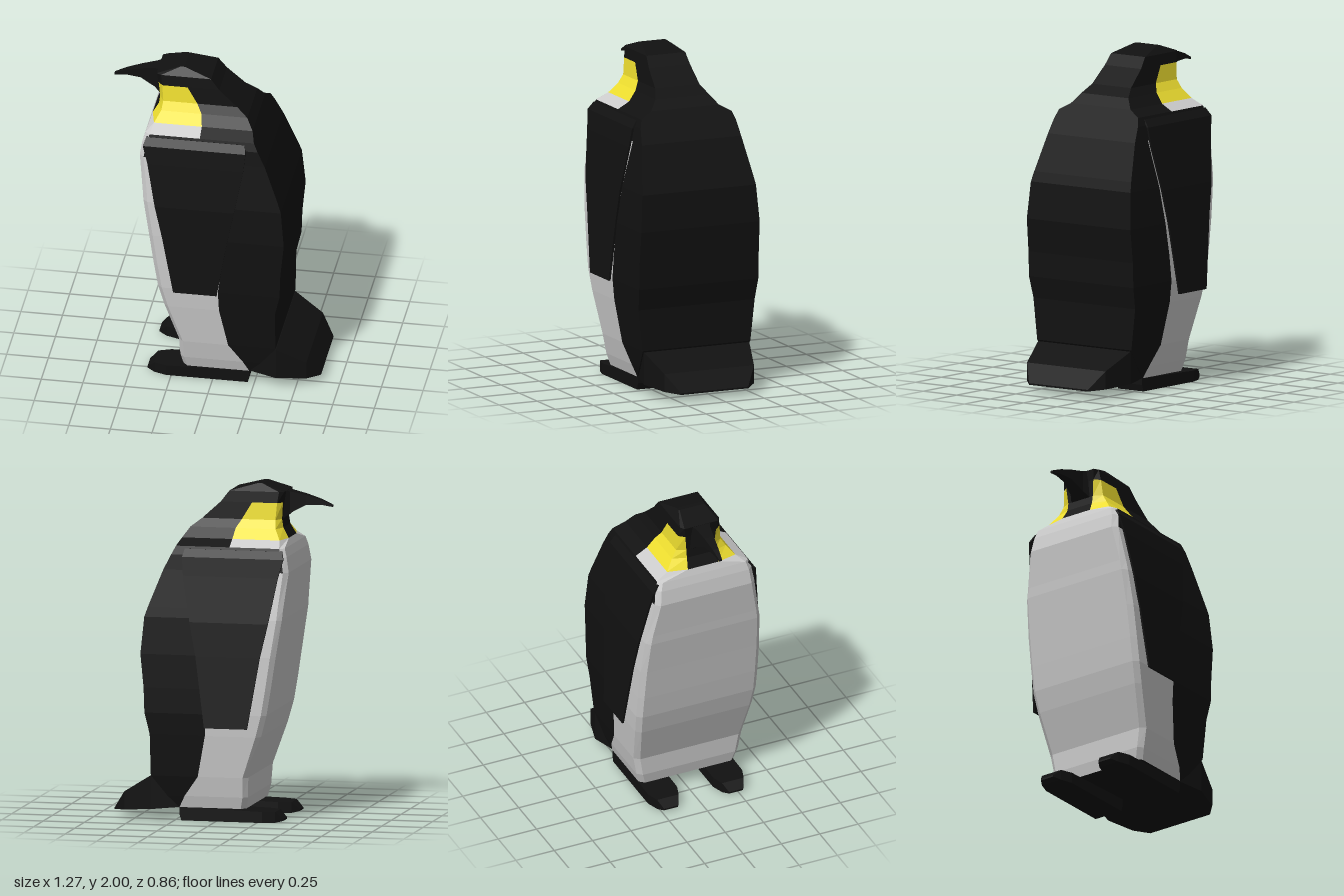
import * as THREE from 'three';

const material = (color) => new THREE.MeshStandardMaterial({ color, flatShading: true, side: THREE.DoubleSide });
const BLACK = material(0x111111), PALE = material(0xcccccc), YELLOW = material(0xf0e030);

// Skin a stack of rings; colorAt(row, column) picks the material, one mesh per material.
function loft(name, rings, colorAt = () => BLACK) {
  const buckets = new Map();
  const tri = (mat, ...pts) => {
    if (!buckets.has(mat)) buckets.set(mat, []);
    for (const p of pts) buckets.get(mat).push(...p);
  };
  const n = rings[0].length;
  for (let i = 0; i < rings.length - 1; i++) {
    for (let j = 0; j < n; j++) {
      const k = (j + 1) % n, mat = colorAt(i, j);
      tri(mat, rings[i][j], rings[i][k], rings[i + 1][k]);
      tri(mat, rings[i][j], rings[i + 1][k], rings[i + 1][j]);
    }
  }
  const first = rings[0], last = rings[rings.length - 1];
  for (let j = 1; j < n - 1; j++) {
    tri(BLACK, first[0], first[j + 1], first[j]);
    tri(BLACK, last[0], last[j], last[j + 1]);
  }
  const group = new THREE.Group();
  group.name = name;
  for (const [mat, verts] of buckets) {
    const geo = new THREE.BufferGeometry();
    geo.setAttribute('position', new THREE.Float32BufferAttribute(verts, 3));
    geo.computeVertexNormals();
    const mesh = new THREE.Mesh(geo, mat);
    mesh.name = name + (mat === PALE ? 'Pale' : mat === YELLOW ? 'Yellow' : 'Black');
    group.add(mesh);
  }
  return group;
}

// Rectangular sections along x: [x, bottom, top, halfWidth]
const loftX = (name, sections, zc = 0) => loft(name, sections.map(([x, b, t, w]) => [
  [x, b, zc + w], [x, b, zc - w], [x, t, zc - w], [x, t, zc + w],
]));

// Body and head levels: [y, front x, back x, half width, front half width, colour split x,
//   colours above this level for the front, the chamfer and the side ahead of the split]
const LEVELS = [
  [0.08, -0.18, 0.22, 0.31, 0.28, 0.22, 'www'],
  [0.15, -0.195, 0.29, 0.33, 0.30, 0.185, 'www'],
  [0.27, -0.20, 0.385, 0.352, 0.32, 0.10, 'www'],
  [0.52, -0.285, 0.385, 0.38, 0.35, 0.05, 'www'],
  [0.65, -0.32, 0.415, 0.39, 0.36, 0.045, 'www'],
  [0.80, -0.345, 0.42, 0.39, 0.36, 0.065, 'www'],
  [1.00, -0.375, 0.44, 0.387, 0.357, 0.10, 'www'],
  [1.22, -0.41, 0.42, 0.372, 0.345, 0.14, 'www'],
  [1.28, -0.415, 0.40, 0.362, 0.337, 0.15, 'www'],
  [1.50, -0.44, 0.315, 0.325, 0.295, 0.19, 'wwb'],
  [1.59, -0.425, 0.27, 0.312, 0.285, 0.05, 'wwb'],
  [1.64, -0.41, 0.245, 0.295, 0.27, -0.08, 'www'],
  [1.68, -0.395, 0.225, 0.222, 0.10, -0.08, 'byy'],
  [1.74, -0.36, 0.185, 0.175, 0.09, -0.09, 'byy'],
  [1.79, -0.352, 0.12, 0.145, 0.09, -0.12, 'byy'],
  [1.89, -0.36, 0.01, 0.135, 0.10, -0.18, 'bbb'],
  [1.955, -0.37, -0.04, 0.127, 0.11, -0.2, 'bbb'],
  [2.00, -0.235, -0.205, 0.085, 0.08, -0.215, 'bbb'],
];

function makeBody() {
  const rings = LEVELS.map(([y, f, b, w, fw, s]) => {
    const c = f + (y > 1.99 ? 0.005 : 0.028);
    return [[f, y, -fw], [f, y, fw], [c, y, w], [s, y, w], [b, y, w], [b, y, -w], [s, y, -w], [c, y, -w]];
  });
  const key = { w: PALE, y: YELLOW, b: BLACK };
  const zone = [0, 1, 2, 3, 3, 3, 2, 1]; // mirrored columns share a colour zone
  return loft('body', rings, (i, j) => key[LEVELS[i][6][zone[j]]] ?? BLACK);
}

// Thin flipper: [y, front x, back x, outer z]; splay swings the tip outwards.
function makeFlipper(name, side, tipY, splay) {
  const sections = [
    [tipY, -0.22, 0.04, 0.412], [1.0, -0.29, 0.10, 0.397], [1.2, -0.335, 0.14, 0.388],
    [1.47, -0.385, 0.19, 0.352], [1.58, -0.415, 0.20, 0.335], [1.625, -0.40, 0.19, 0.302],
  ];
  return loft(name, sections.map(([y, f, b, z]) => {
    const outer = z + splay * Math.max(0, (1.4 - y) / 0.8), inner = outer - 0.012;
    const ring = [[f, y, side * inner], [f, y, side * outer], [b, y, side * outer], [b, y, side * inner]];
    return side > 0 ? ring : ring.reverse();
  }));
}

export function createModel() {
  const model = new THREE.Group();
  model.name = 'penguin';
  model.add(makeBody());

  // Curved tapering beak
  model.add(loftX('beak', [
    [-0.64, 1.86, 1.872, 0.009], [-0.57, 1.872, 1.903, 0.018], [-0.48, 1.868, 1.93, 0.03],
    [-0.39, 1.82, 1.95, 0.045], [-0.33, 1.77, 1.96, 0.08],
  ]));

  // Short fan-shaped tail
  model.add(loftX('tail', [
    [0.22, 0.08, 0.22, 0.305], [0.385, 0.067, 0.262, 0.345],
    [0.56, 0.052, 0.16, 0.293], [0.635, 0.042, 0.052, 0.22],
  ]));

  // Flippers and feet on both sides
  model.add(makeFlipper('leftFlipper', 1, 0.635, 0));
  model.add(makeFlipper('rightFlipper', -1, 0.575, 0.035));
  for (const side of [1, -1]) {
    model.add(loftX(side > 0 ? 'leftFoot' : 'rightFoot', [
      [-0.40, 0.01, 0.02, 0.045], [-0.355, 0, 0.064, 0.07], [-0.28, 0, 0.066, 0.095],
      [0.21, 0, 0.08, 0.095], [0.222, 0.04, 0.08, 0.095],
    ], side * 0.212));
  }

  // Sit the bird centred in depth
  for (const part of model.children) part.position.z = 0.02;
  return model;
}
